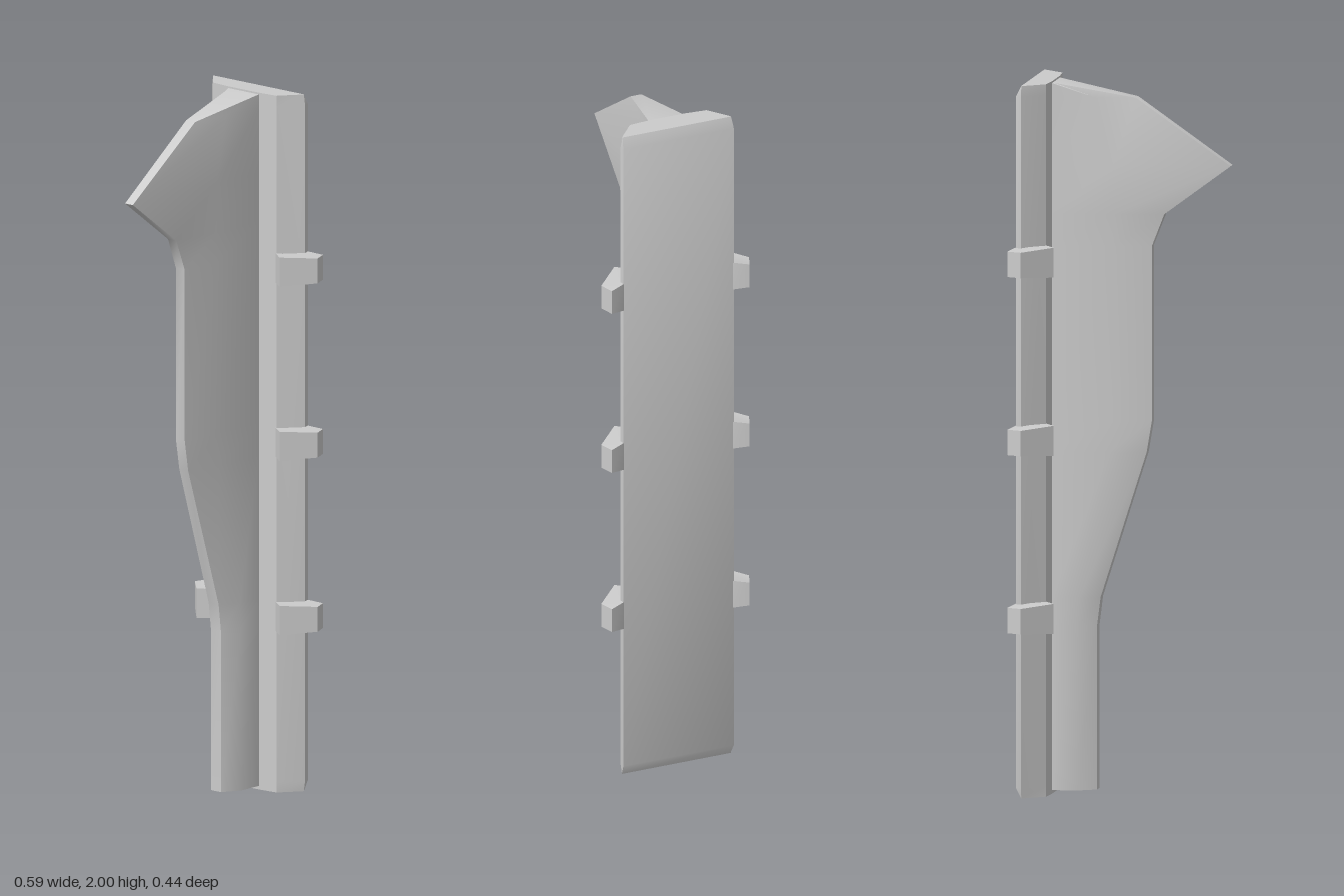
import * as THREE from 'three';
import { toCreasedNormals } from 'three/addons/utils/BufferGeometryUtils.js';

const material = new THREE.MeshStandardMaterial({ color: 0xcccccc });

// Skin a stack of horizontal rings; each ring is { y, pts: [[x, z], ...] }, closed by caps.
function loft(name, rings, crease) {
  const n = rings[0].pts.length;
  const positions = [];
  const index = [];
  for (const { y, pts } of rings) {
    const v = pts.map(([x, z]) => new THREE.Vector2(x, z));
    if (THREE.ShapeUtils.area(v) < 0) v.reverse();
    for (const p of v) positions.push(p.x, y, p.y);
  }
  for (let r = 0; r < rings.length - 1; r++) {
    for (let i = 0; i < n; i++) {
      const a = r * n + i, b = r * n + (i + 1) % n;
      index.push(a, a + n, b, b, a + n, b + n);
    }
  }
  for (const r of [0, rings.length - 1]) {
    const v = [];
    for (let i = 0; i < n; i++) {
      const k = (r * n + i) * 3;
      v.push(new THREE.Vector2(positions[k], positions[k + 2]));
    }
    for (const [a, b, c] of THREE.ShapeUtils.triangulateShape(v, [])) {
      if (r === 0) index.push(a, b, c);
      else index.push(r * n + a, r * n + c, r * n + b);
    }
  }
  const geometry = new THREE.BufferGeometry();
  geometry.setAttribute('position', new THREE.Float32BufferAttribute(positions, 3));
  geometry.setIndex(index);
  const mesh = new THREE.Mesh(toCreasedNormals(geometry, crease), material);
  mesh.name = name;
  return mesh;
}

// Mirror half an outline across z = 0 into a full ring.
const mirrored = half => [...half, ...half.map(([x, z]) => [x, -z]).reverse()];

export function createModel() {
  const group = new THREE.Group();
  group.name = 'finnedPlate';

  // Backing plate: trapezoid section, outer face pulled in at both ends
  const plateRing = (y, inset) => ({
    y,
    pts: mirrored([[0.2, 0.055], [0.205, 0.115], [0.265, 0.168 - inset * 0.3], [0.28 - inset, 0.166 - inset * 0.3]]),
  });
  group.add(loft('plate', [
    plateRing(0, 0.014), plateRing(0.03, 0), plateRing(1.97, 0), plateRing(2, 0.014),
  ], 0.6));

  // Web with a beak: [height, leading edge x, edge half width, shoulder x, shoulder half width]
  const webLevels = [
    [0.01, 0.08, 0.018, 0.13, 0.049],
    [0.47, 0.08, 0.018, 0.13, 0.049],
    [0.55, 0.07, 0.018, 0.125, 0.049],
    [0.96, -0.06, 0.016, 0.04, 0.044],
    [1.05, -0.075, 0.016, 0.03, 0.043],
    [1.54, -0.075, 0.016, 0.03, 0.043],
    [1.63, -0.11, 0.015, 0.03, 0.043],
    [1.77, -0.298, 0.014, 0.03, 0.043],
    [1.955, -0.03, 0.016, 0.08, 0.036],
    [1.995, 0.195, 0.05, 0.2, 0.055],
  ];
  group.add(loft('web', webLevels.map(([y, edgeX, edgeW, midX, midW]) => ({
    y,
    pts: mirrored([[edgeX, edgeW], [midX, midW], [0.2, 0.055], [0.23, 0.055]]),
  })), 0.7));

  // Lugs gripping both slanted edges of the plate
  const lugInner = [[0.21, 0.105], [0.27, 0.15], [0.28, 0.164]];
  const lugOuter = [[0.296, 0.207], [0.255, 0.222], [0.176, 0.15]];
  for (const side of [1, -1]) {
    for (const y of [0.505, 1.005, 1.505]) {
      const pts = [...lugInner, ...lugOuter].map(([x, z]) => [x, z * side]);
      const lug = loft('lug', [{ y: y - 0.042, pts }, { y: y + 0.042, pts }], 0.7);
      // Thin the lug slightly towards its outer corner
      const p = lug.geometry.attributes.position;
      for (let i = 0; i < p.count; i++) {
        if (Math.abs(p.getZ(i)) > 0.2) p.setY(i, y + (p.getY(i) - y) * 0.85);
      }
      lug.geometry = toCreasedNormals(lug.geometry, 0.7);
      group.add(lug);
    }
  }
  return group;
}
